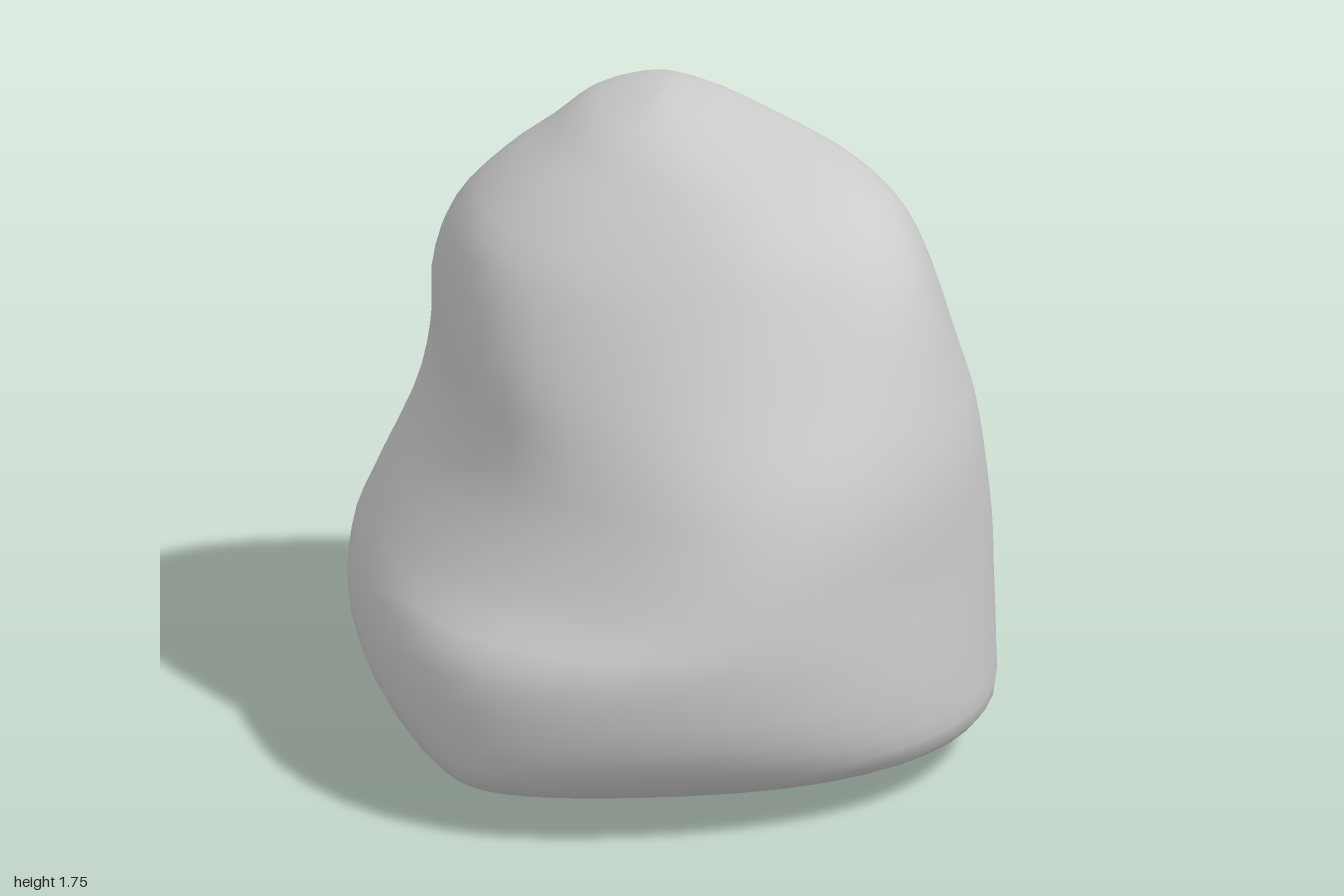
import * as THREE from 'three';

const PER_CORNER = 6;
const COLUMNS = 8 * PER_CORNER;
const STEPS = 44;

// Each level: y, then the reach along x, z, the diagonal (x+z) and the diagonal (x-z), as min, max.
const LEVELS = [
  [0.03, -0.54, 0.51, -0.56, 0.50, -0.59, 0.53, -0.61, 0.57],
  [0.08, -0.68, 0.76, -0.76, 0.72, -0.81, 0.75, -0.84, 0.77],
  [0.15, -0.77, 0.84, -0.86, 0.88, -0.95, 0.88, -0.98, 0.85],
  [0.28, -0.85, 0.845, -0.89, 0.97, -1.02, 0.905, -1.01, 0.88],
  [0.48, -0.85, 0.84, -0.92, 1.0, -1.0, 0.905, -0.99, 0.89],
  [0.62, -0.78, 0.835, -0.94, 0.98, -0.97, 0.90, -0.87, 0.87],
  [0.82, -0.66, 0.81, -1.0, 0.93, -0.95, 0.90, -0.76, 0.80],
  [0.97, -0.61, 0.785, -0.95, 0.87, -0.95, 0.88, -0.70, 0.74],
  [1.15, -0.61, 0.73, -0.86, 0.76, -0.90, 0.83, -0.62, 0.65],
  [1.37, -0.565, 0.66, -0.72, 0.62, -0.75, 0.75, -0.48, 0.54],
  [1.50, -0.45, 0.60, -0.64, 0.52, -0.63, 0.66, -0.35, 0.47],
  [1.60, -0.32, 0.50, -0.56, 0.37, -0.51, 0.53, -0.22, 0.41],
  [1.68, -0.21, 0.31, -0.48, 0.12, -0.42, 0.26, -0.09, 0.35],
  [1.735, -0.07, 0.13, -0.37, -0.09, -0.28, 0.0, 0.05, 0.28],
];

// Smooth closed outline that touches the eight reach lines of one level.
function outline([y, x0, x1, z0, z1, p0, p1, q0, q1]) {
  const reach = [x1, p1, z1, -q0, -x0, -p0, -z0, q1];
  // Corners where neighbouring reach lines cross
  const corners = reach.map((h, i) => {
    const a = (i * Math.PI) / 4;
    const t = reach[(i + 1) % 8] * Math.SQRT2 - h;
    return new THREE.Vector2(
      h * Math.cos(a) - t * Math.sin(a), h * Math.sin(a) + t * Math.cos(a));
  });
  // Round each corner from the middle of one edge to the middle of the next
  const ring = [];
  corners.forEach((c, i) => {
    const from = c.clone().lerp(corners[(i + 7) % 8], 0.5);
    const to = c.clone().lerp(corners[(i + 1) % 8], 0.5);
    const arc = new THREE.QuadraticBezierCurve(from, c, to);
    for (let k = 0; k < PER_CORNER; k++) {
      const p = arc.getPoint(k / PER_CORNER);
      ring.push(new THREE.Vector3(p.x, y, p.y));
    }
  });
  return ring;
}

function boulderGeometry() {
  const rings = LEVELS.map(outline);
  const bottom = new THREE.Vector3(0.1, 0.005, 0);
  const top = new THREE.Vector3(0.01, 1.75, -0.25);
  const points = [];

  // Smooth every column from the base to the crown.
  const columns = [];
  for (let i = 0; i < COLUMNS; i++) {
    const path = new THREE.CatmullRomCurve3(
      [bottom, ...rings.map((r) => r[i]), top], false, 'centripetal');
    columns.push(path.getPoints(STEPS));
  }
  for (let j = 1; j < STEPS; j++) {
    for (let i = 0; i < COLUMNS; i++) points.push(columns[i][j]);
  }
  const base = points.push(bottom) - 1;
  const crown = points.push(top) - 1;

  const index = [];
  const last = (STEPS - 2) * COLUMNS;
  for (let i = 0; i < COLUMNS; i++) {
    const n = (i + 1) % COLUMNS;
    index.push(base, i, n, crown, last + n, last + i);
    for (let j = 0; j < STEPS - 2; j++) {
      const a = j * COLUMNS + i, b = j * COLUMNS + n;
      index.push(a, a + COLUMNS, b, b, a + COLUMNS, b + COLUMNS);
    }
  }
  const geometry = new THREE.BufferGeometry().setFromPoints(points);
  geometry.setIndex(index);
  // Keep the underside resting on the ground.
  const pos = geometry.attributes.position;
  for (let k = 0; k < pos.count; k++) pos.setY(k, Math.max(0, pos.getY(k)));
  geometry.computeVertexNormals();
  return geometry;
}

export function createModel() {
  const group = new THREE.Group();
  group.name = 'rock';
  const stone = new THREE.MeshStandardMaterial({ color: 0xcccccc });
  stone.name = 'grey stone';
  const boulder = new THREE.Mesh(boulderGeometry(), stone);
  boulder.name = 'boulder';
  group.add(boulder);
  return group;
}
